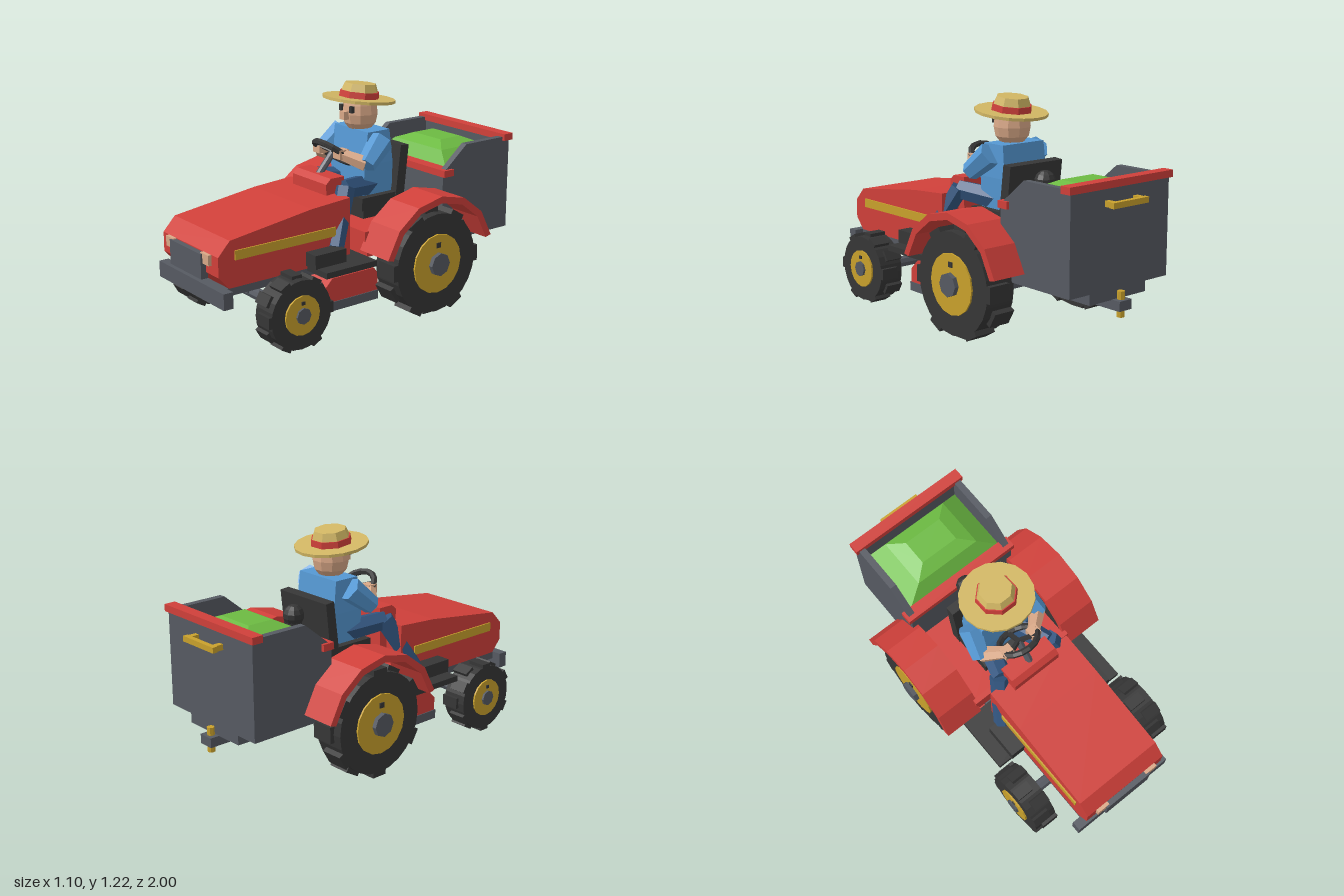
import * as THREE from 'three';

const mat = (name, color) => { const m = new THREE.MeshStandardMaterial({ color }); m.name = name; return m; };

export function createModel() {
  const red = mat('red paint', 0xd0403a), grey = mat('steel grey', 0x565a62), black = mat('rubber black', 0x363636),
    yellow = mat('yellow paint', 0xc9a12c), straw = mat('straw', 0xd2b764), skin = mat('skin', 0xd9a887),
    blue = mat('shirt blue', 0x5598d3), navy = mat('trouser navy', 0x32557f), green = mat('grass green', 0x6cba42);
  const root = new THREE.Group();
  root.name = 'gardenTractor';

  const add = (name, geo, material, parent = root) => {
    const g = geo.index ? geo.toNonIndexed() : geo;
    g.computeVertexNormals(); // faceted look
    const m = new THREE.Mesh(g, material);
    m.name = name;
    parent.add(m);
    return m;
  };
  // box from its lower and upper limits
  const box = (name, material, x0, x1, y0, y1, z0, z1, parent) => add(name,
    new THREE.BoxGeometry(x1 - x0, y1 - y0, z1 - z0).translate((x0 + x1) / 2, (y0 + y1) / 2, (z0 + z1) / 2), material, parent);
  // side profile of [z, y] points, extruded across x
  const profile = (name, material, pts, x0, x1) => {
    const shape = new THREE.Shape(pts.map(p => new THREE.Vector2(p[0], p[1])));
    const g = new THREE.ExtrudeGeometry(shape, { depth: x1 - x0, bevelEnabled: false });
    return add(name, g.rotateY(-Math.PI / 2).translate(x1, 0, 0), material);
  };
  // tapered rod between two points
  const rod = (name, material, a, b, ra, rb, sides = 6) => {
    const A = new THREE.Vector3(...a), B = new THREE.Vector3(...b), d = B.clone().sub(A);
    const m = add(name, new THREE.CylinderGeometry(rb, ra, d.length(), sides), material);
    m.position.copy(A).add(B).multiplyScalar(0.5);
    m.quaternion.setFromUnitVectors(new THREE.Vector3(0, 1, 0), d.normalize());
    return m;
  };
  // solid skinned over rectangular rings [y, halfX, z0, z1]
  const stack = (name, material, rings) => {
    const pos = [], idx = [], n = rings.length;
    rings.forEach(([y, x, z0, z1]) => pos.push(-x, y, z1, x, y, z1, x, y, z0, -x, y, z0));
    for (let r = 0; r < n - 1; r++) for (let i = 0; i < 4; i++) {
      const a = r * 4 + i, b = r * 4 + (i + 1) % 4;
      idx.push(a, b, b + 4, a, b + 4, a + 4);
    }
    const t = (n - 1) * 4;
    idx.push(t, t + 1, t + 2, t, t + 2, t + 3, 0, 2, 1, 0, 3, 2);
    const g = new THREE.BufferGeometry();
    g.setAttribute('position', new THREE.Float32BufferAttribute(pos, 3));
    g.setIndex(idx);
    return add(name, g, material);
  };

  // wheels with alternating lugs
  const wheel = (name, s, x, y, z, R, w, rim, hub, hubOut) => {
    const g = new THREE.Group();
    g.name = name;
    g.position.set(s * x, y, z);
    root.add(g);
    const disc = (n, m, r, a, b, sides) => add(n,
      new THREE.CylinderGeometry(r, r, b - a, sides).rotateZ(Math.PI / 2).translate(s * (a + b) / 2, 0, 0), m, g);
    disc('tyre', black, R * 0.92, -w / 2, w / 2, 24);
    disc('rim', yellow, rim, -w / 2 - 0.01, w / 2 + 0.01, 16);
    disc('hub', grey, hub, -w / 2 - 0.02, hubOut - x, 8);
    box('rimHole', black, s * (w / 2 + 0.012) - 0.004, s * (w / 2 + 0.012) + 0.004, rim * 0.55, rim * 0.72, -rim * 0.09, rim * 0.09, g);
    for (let i = 0; i < 12; i++) {
      const lug = add('lug', new THREE.BoxGeometry(w * 0.72, R * 0.14, R * 0.3)
        .translate((i % 2 ? 1 : -1) * w * 0.14, R * 0.925, 0), black, g);
      lug.rotation.x = i * Math.PI / 6;
    }
  };

  // chassis
  box('chassis', grey, -0.13, 0.13, 0.29, 0.35, -0.5, 0.92);
  box('upperChassis', grey, -0.26, 0.26, 0.31, 0.352, 0.05, 0.92);
  box('frontBumper', grey, -0.315, 0.315, 0.265, 0.352, 0.92, 0.975);
  box('axlePivot', grey, -0.043, 0.043, 0.2, 0.31, 0.58, 0.66);
  rod('frontAxle', grey, [-0.34, 0.2, 0.62], [0.34, 0.2, 0.62], 0.032, 0.032, 8);
  rod('rearAxle', grey, [-0.36, 0.305, -0.245], [0.36, 0.305, -0.245], 0.05, 0.05, 8);
  box('footBoard', black, -0.43, 0.43, 0.34, 0.372, 0.1, 0.43);

  // bonnet and body
  profile('bonnet', red, [[0.15, 0.352], [0.91, 0.352], [0.97, 0.42], [0.97, 0.525], [0.9, 0.6], [0.4, 0.668], [0.15, 0.685]], -0.265, 0.265);
  box('grille', grey, -0.15, 0.15, 0.387, 0.52, 0.96, 1);
  profile('dashboard', red, [[0.1, 0.45], [0.155, 0.45], [0.155, 0.66], [0.22, 0.68], [0.22, 0.74], [0.19, 0.768], [0.1, 0.768]], -0.15, 0.15);
  box('rearBody', red, -0.31, 0.31, 0.35, 0.5, -0.41, 0.07);
  box('bodyCrossPanel', red, -0.33, 0.33, 0.4, 0.5, 0.07, 0.1);

  // mower deck
  profile('mowerDeck', red, [[0.005, 0.155], [0.365, 0.155], [0.365, 0.23], [0.31, 0.285], [0.03, 0.285], [0.005, 0.25]], -0.32, 0.32);
  box('mowerSkirt', grey, -0.325, 0.325, 0.105, 0.155, 0.005, 0.37);

  // mirrored tractor parts
  for (const s of [-1, 1]) {
    const span = (a, b) => s > 0 ? [a, b] : [-b, -a];
    wheel('frontWheel', s, 0.405, 0.207, 0.62, 0.2, 0.14, 0.105, 0.043, 0.497);
    wheel('rearWheel', s, 0.427, 0.305, -0.245, 0.3, 0.176, 0.165, 0.064, 0.55);
    const arc = [];
    for (let i = 0; i <= 6; i++) arc.push([0.38, 15 + i * 25]);
    for (let i = 6; i >= 0; i--) arc.push([0.342, 15 + i * 25]);
    profile('rearFender', red, arc.map(([r, d]) =>
      [-0.245 + r * Math.cos(d * Math.PI / 180), 0.305 + r * Math.sin(d * Math.PI / 180)]), ...span(0.315, 0.547));
    box('sideStripe', yellow, ...span(0.264, 0.273), 0.495, 0.545, 0.25, 0.875);
    box('headlight', skin, ...span(0.13, 0.205), 0.47, 0.525, 0.96, 0.99);
    box('boot', black, ...span(0.24, 0.35), 0.37, 0.445, 0.24, 0.44);
  }

  // grass bin
  for (const s of [-1, 1]) profile('binSide', grey,
    [[-0.43, 0.34], [-0.43, 0.735], [-0.6, 0.875], [-0.93, 0.875], [-0.93, 0.34]], s > 0 ? 0.31 : -0.348, s > 0 ? 0.348 : -0.31);
  box('binFloor', grey, -0.31, 0.31, 0.34, 0.37, -0.93, -0.43);
  box('binBack', grey, -0.31, 0.31, 0.34, 0.875, -0.93, -0.89);
  box('binFront', grey, -0.31, 0.31, 0.34, 0.73, -0.49, -0.43);
  box('binFrontRail', red, -0.365, 0.365, 0.715, 0.753, -0.495, -0.425);
  box('binRearRail', red, -0.365, 0.365, 0.855, 0.893, -0.942, -0.878);
  stack('grassHeap', green, [[0.6, 0.31, -0.89, -0.49], [0.73, 0.31, -0.89, -0.49], [0.82, 0.2, -0.85, -0.55], [0.855, 0.115, -0.77, -0.62]]);
  box('binHandle', yellow, -0.125, 0.125, 0.765, 0.795, -1, -0.972);
  for (const x of [-0.1, 0.1]) box('handleProng', yellow, x - 0.015, x + 0.015, 0.765, 0.795, -0.975, -0.93);
  box('binSubframe', grey, -0.2, 0.2, 0.28, 0.34, -0.92, -0.45);
  box('drawbar', grey, -0.043, 0.043, 0.23, 0.282, -0.975, -0.45);
  rod('hitchPin', yellow, [0, 0.19, -0.942], [0, 0.325, -0.942], 0.02, 0.02, 8);

  // exhaust
  rod('exhaustPipe', black, [0, 0.48, -0.385], [0, 0.8, -0.385], 0.045, 0.045, 10);
  add('exhaustCap', new THREE.SphereGeometry(0.058, 10, 7).translate(0, 0.8, -0.385), black);

  // seat
  box('seatBase', black, -0.14, 0.14, 0.5, 0.56, -0.24, -0.04);
  box('seatCushion', black, -0.18, 0.18, 0.56, 0.63, -0.26, 0);
  profile('seatBack', black, [[-0.225, 0.56], [-0.265, 0.89], [-0.32, 0.885], [-0.285, 0.56]], -0.185, 0.185);

  // steering
  const steering = new THREE.Group();
  steering.name = 'steering';
  steering.position.set(0, 0.865, 0.06);
  steering.rotation.x = Math.PI / 2 - 0.66;
  root.add(steering);
  add('steeringWheel', new THREE.TorusGeometry(0.112, 0.018, 6, 16), black, steering);
  for (let i = 0; i < 3; i++) {
    const spoke = box('spoke', black, -0.012, 0.012, 0, 0.11, -0.008, 0.008, steering);
    spoke.rotation.z = Math.PI / 3 + i * Math.PI * 2 / 3;
  }
  rod('steeringColumn', grey, [0, 0.74, 0.17], [0, 0.865, 0.06], 0.02, 0.02, 8);

  // driver
  stack('torso', blue, [[0.62, 0.14, -0.24, -0.04], [0.8, 0.15, -0.235, -0.04], [0.98, 0.145, -0.215, -0.065]]);
  for (const s of [-1, 1]) {
    rod('sleeve', blue, [s * 0.165, 0.93, -0.14], [s * 0.2, 0.82, -0.01], 0.07, 0.052);
    rod('forearm', skin, [s * 0.19, 0.825, -0.015], [s * 0.095, 0.87, 0.07], 0.046, 0.036);
    add('hand', new THREE.BoxGeometry(0.06, 0.05, 0.06).translate(s * 0.09, 0.875, 0.075), skin);
    rod('thigh', navy, [s * 0.08, 0.67, -0.13], [s * 0.16, 0.7, 0.12], 0.065, 0.055);
    rod('shin', navy, [s * 0.17, 0.71, 0.11], [s * 0.27, 0.43, 0.25], 0.055, 0.045);
    box('eye', black, s * 0.044 - 0.012, s * 0.044 + 0.012, 1.075, 1.11, -0.042, -0.024);
  }
  const headPoints = [[0, 0.97], [0.06, 0.972], [0.09, 1.01], [0.1, 1.06], [0.095, 1.11], [0.085, 1.15], [0, 1.15]];
  add('head', new THREE.LatheGeometry(headPoints.map(p => new THREE.Vector2(...p)), 10)
    .rotateY(Math.PI / 10).translate(0, 0, -0.125), skin);
  box('nose', skin, -0.021, 0.021, 1.035, 1.08, -0.06, 0);

  // straw hat, tipped back
  const hat = new THREE.Group();
  hat.name = 'strawHat';
  hat.position.set(0, 1.138, -0.118);
  hat.rotation.x = -0.115;
  root.add(hat);
  add('brim', new THREE.CylinderGeometry(0.2, 0.2, 0.016, 16), straw, hat);
  add('hatBand', new THREE.CylinderGeometry(0.11, 0.114, 0.034, 8).rotateY(Math.PI / 8).translate(0, 0.025, 0), red, hat);
  add('crown', new THREE.CylinderGeometry(0.088, 0.105, 0.045, 8).rotateY(Math.PI / 8).translate(0, 0.062, 0), straw, hat);
  return root;
}
